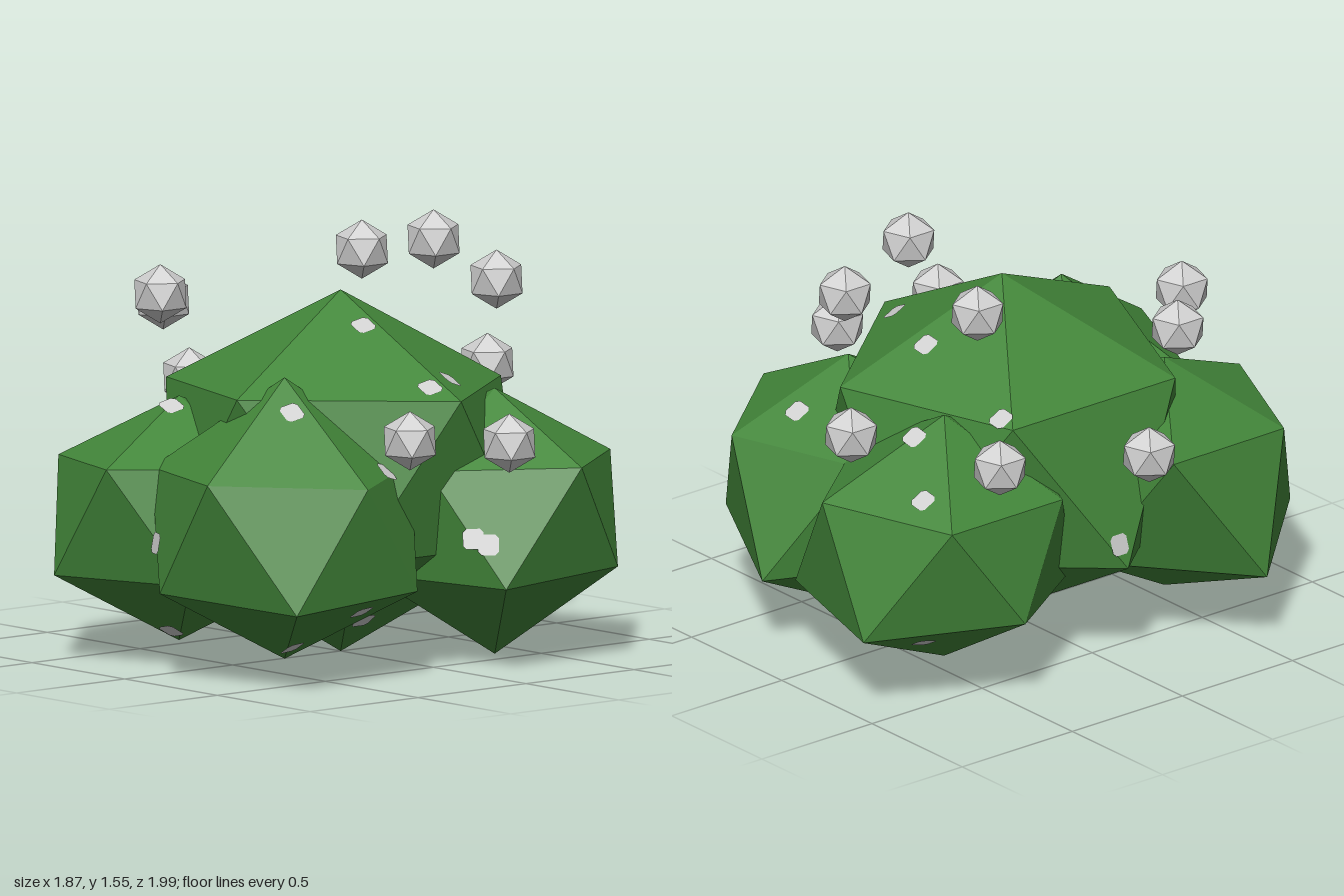
import * as THREE from 'three';

const green = new THREE.MeshStandardMaterial({ color: 0x43873a, flatShading: true });
green.name = 'leafGreen';
const grey = new THREE.MeshStandardMaterial({ color: 0xcfcfcf, flatShading: true });
grey.name = 'paleGrey';

// Pole-up icosahedron with its own radius for every ring vertex
function icoGeometry([cx, cy, cz], top, bottom, upper, lower, squash) {
  const ring = (radii, start, side) => radii.map((r, i) => {
    const a = (start + 72 * i) * Math.PI / 180;
    return [cx + r * Math.cos(a), cy + side * r * 0.5 * squash, cz + r * Math.sin(a)];
  });
  const T = [cx, cy + top, cz], B = [cx, cy - bottom, cz];
  const U = ring(upper, 0, 1), L = ring(lower, 36, -1);
  const pos = [];
  for (let i = 0; i < 5; i++) {
    const j = (i + 1) % 5;
    pos.push(T, U[j], U[i], U[i], U[j], L[i], L[i], U[j], L[j], L[i], L[j], B);
  }
  const g = new THREE.BufferGeometry();
  g.setAttribute('position', new THREE.Float32BufferAttribute(pos.flat(), 3));
  g.computeVertexNormals();
  return g;
}

export function createModel() {
  const model = new THREE.Group();
  model.name = 'berryBush';

  // Leafy lobes: centre, pole lengths, upper and lower ring radii
  const foliage = new THREE.Group();
  foliage.name = 'foliage';
  model.add(foliage);
  const lobes = [
    ['centreLobe', [0, 0.69, 0], 0.6, 0.685, [0.65, 0.7, 0.63, 0.66, 0.61], [0.66, 0.66, 0.7, 0.66, 0.66]],
    ['frontRightLobe', [-0.29, 0.52, 0.5], 0.41, 0.46, [0.47, 0.49, 0.435, 0.58, 0.48], [0.47, 0.475, 0.57, 0.48, 0.48]],
    ['frontLeftLobe', [0.28, 0.52, 0.5], 0.54, 0.46, [0.45, 0.52, 0.48, 0.48, 0.48], [0.54, 0.475, 0.48, 0.48, 0.48]],
    ['backLeftLobe', [0.4, 0.52, -0.37], 0.43, 0.515, [0.47, 0.45, 0.47, 0.47, 0.44], [0.5, 0.48, 0.48, 0.56, 0.445]],
    ['backRightLobe', [-0.29, 0.52, -0.5], 0.46, 0.46, [0.48, 0.48, 0.43, 0.48, 0.46], [0.48, 0.48, 0.45, 0.525, 0.54]],
  ];
  for (const [name, ...shape] of lobes) {
    const lobe = new THREE.Mesh(icoGeometry(...shape, 0.85), green);
    lobe.name = name;
    foliage.add(lobe);
  }

  // Berries floating around the bush
  const berries = new THREE.Group();
  berries.name = 'berries';
  model.add(berries);
  const ring = Array(5).fill(0.094);
  const berryGeometry = icoGeometry([0, 0, 0], 0.105, 0.105, ring, ring, 1);
  const places = [
    [0.14, 1.455, -0.31], [0.2, 1.295, -0.55], [-0.34, 1.355, -0.39], [-0.46, 1.265, 0.44],
    [-0.62, 1.21, 0.29], [-0.84, 0.88, -0.02], [-0.635, 0.9, -0.53], [0.77, 0.875, 0.34],
    [0.84, 0.835, -0.06], [-0.14, 0.935, -0.8],
  ];
  for (const p of places) {
    const berry = new THREE.Mesh(berryGeometry, grey);
    berry.name = 'berry';
    berry.position.set(...p);
    berries.add(berry);
  }

  // Small pale spots laid flat on the outer leaf faces
  const spots = new THREE.Group();
  spots.name = 'spots';
  model.add(spots);
  const c = 0.037, k = 0.024;
  const outline = [[c, -k], [c, k], [k, c], [-k, c], [-c, k], [-c, -k], [-k, -c], [k, -c]];
  const spotGeometry = new THREE.ShapeGeometry(
    new THREE.Shape(outline.map(([x, y]) => new THREE.Vector2(x, y))));
  const caster = new THREE.Raycaster();
  const addSpot = (from, dir) => {
    caster.set(new THREE.Vector3(...from), new THREE.Vector3(...dir));
    const hit = caster.intersectObjects(foliage.children)[0];
    if (!hit) return;
    const spot = new THREE.Mesh(spotGeometry, grey);
    spot.name = 'spot';
    spot.position.copy(hit.point).addScaledVector(hit.face.normal, 0.004);
    spot.up.set(...(dir[1] ? [0, 0, 1] : [0, 1, 0]));
    spot.lookAt(spot.position.clone().add(hit.face.normal));
    spots.add(spot);
  };
  const above = [
    [-0.48, -0.75], [-0.26, -0.61], [0.39, -0.61], [0.03, -0.32], [0.47, -0.1], [0.18, -0.05 + 0.1],
    [0.54, 0.05], [-0.26, 0.56], [0.39, 0.56], [0.56, 0.27], [-0.46, -0.38],
  ];
  for (const [x, z] of above) addSpot([x, 3, z], [0, -1, 0]);
  const below = [
    [-0.26, 0.56], [0.39, 0.56], [0.39, -0.61], [0.18, 0.05], [-0.48, -0.75], [-0.26, -0.61],
    [-0.77, 0.5], [0.6, 0.42],
  ];
  for (const [x, z] of below) addSpot([x, -1, z], [0, 1, 0]);
  for (const [x, y] of [[0.04, 0.48], [0.73, 0.46]]) addSpot([x, y, 3], [0, 0, -1]);
  addSpot([3, 0.48, -0.02], [-1, 0, 0]);
  addSpot([-3, 0.48, -0.02], [1, 0, 0]);

  return model;
}
